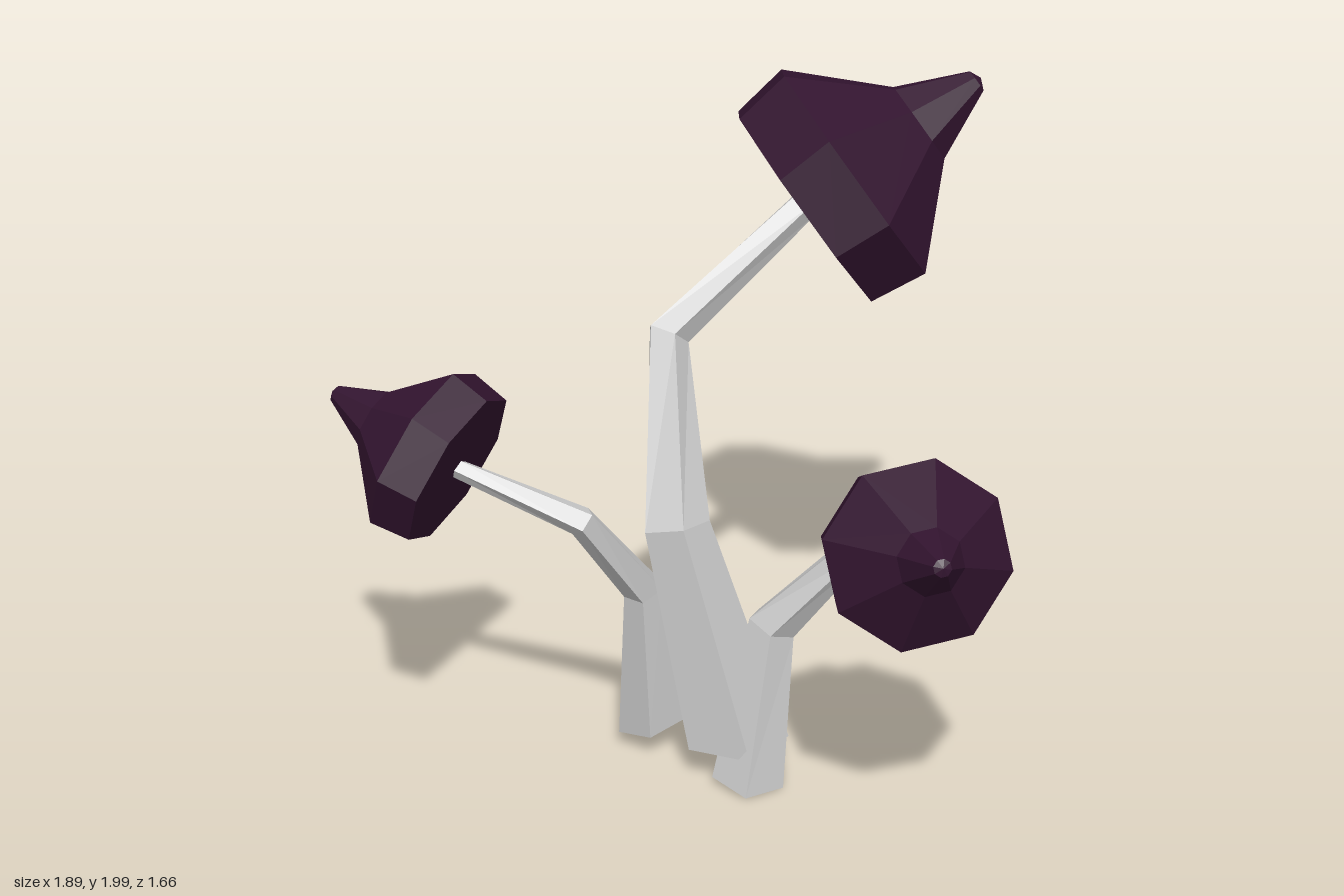
import * as THREE from 'three';

const UP = new THREE.Vector3(0, 1, 0);
const SIDES = 5;
const stemMaterial = new THREE.MeshStandardMaterial({ color: 0xcccccc, flatShading: true });
const capMaterial = new THREE.MeshStandardMaterial({ color: 0x32142f, flatShading: true });

// Cap outline (radius, height): flat underside, flared rim, concave rise to a blunt spike
const CAP_PROFILE = [[0, 0], [0.345, 0], [0.37, 0.17], [0.13, 0.4], [0.035, 0.6], [0, 0.615]]
  .map(([r, h]) => new THREE.Vector2(r, h));

// Five-sided crooked tube; each joint is [x, y, z, radius]
function stemGeometry(joints, baseNormal, phase) {
  const centres = joints.map(([x, y, z]) => new THREE.Vector3(x, y, z));
  const direction = (i) => centres[i + 1].clone().sub(centres[i]).normalize();
  const last = centres.length - 1;
  const positions = [];
  const index = [];

  centres.forEach((centre, i) => {
    let normal;
    if (i === 0) normal = new THREE.Vector3(...baseNormal).normalize();
    else if (i === last) normal = direction(i - 1);
    else normal = direction(i - 1).add(direction(i)).normalize();
    const turn = new THREE.Quaternion().setFromUnitVectors(UP, normal);
    for (let s = 0; s < SIDES; s++) {
      const a = phase + (s / SIDES) * Math.PI * 2;
      const p = new THREE.Vector3(Math.cos(a), 0, Math.sin(a))
        .multiplyScalar(joints[i][3]).applyQuaternion(turn).add(centre);
      positions.push(p.x, p.y, p.z);
    }
  });
  // Walls
  for (let i = 0; i < last; i++) {
    for (let s = 0; s < SIDES; s++) {
      const p0 = i * SIDES + s;
      const p1 = i * SIDES + ((s + 1) % SIDES);
      index.push(p0, p0 + SIDES, p1, p1, p0 + SIDES, p1 + SIDES);
    }
  }
  // End faces
  const top = last * SIDES;
  for (let s = 1; s < SIDES - 1; s++) {
    index.push(0, s, s + 1, top, top + s + 1, top + s);
  }
  const geometry = new THREE.BufferGeometry();
  geometry.setAttribute('position', new THREE.Float32BufferAttribute(positions, 3));
  geometry.setIndex(index);
  const flat = geometry.toNonIndexed();
  flat.computeVertexNormals();
  return flat;
}

function mushroom({ name, joints, baseNormal, phase, cap }) {
  const group = new THREE.Group();
  group.name = name;

  const stem = new THREE.Mesh(stemGeometry(joints, baseNormal, phase), stemMaterial);
  stem.name = name + 'Stem';

  const geometry = new THREE.LatheGeometry(CAP_PROFILE, 8);
  geometry.rotateY(cap.roll);
  const head = new THREE.Mesh(geometry, capMaterial);
  head.name = name + 'Cap';
  head.scale.setScalar(cap.scale);
  head.position.set(...cap.position);
  head.quaternion.setFromUnitVectors(UP, new THREE.Vector3(...cap.axis).normalize());

  group.add(stem, head);
  return group;
}

const MUSHROOMS = [
  {
    name: 'tallMushroom',
    joints: [[0.19, 0.11, 0.03, 0.16], [0.015, 0.8, 0.045, 0.1], [-0.02, 1.28, -0.21, 0.065], [0.37, 1.61, -0.43, 0.045]],
    baseNormal: [0, 1, 0],
    phase: 0,
    cap: { position: [0.36, 1.595, -0.43], axis: [0.8, 0.58, -0.16], scale: 1, roll: 0.32 },
  },
  {
    name: 'rightMushroom',
    joints: [[-0.06, 0.075, -0.1, 0.105], [-0.08, 0.56, -0.02, 0.06], [-0.24, 0.85, 0.14, 0.045], [-0.6, 1.0, 0.115, 0.028]],
    baseNormal: [-0.25, 1, 0],
    phase: 0.3,
    cap: { position: [-0.588, 0.99, 0.115], axis: [-0.86, 0.39, -0.34], scale: 0.7, roll: 0.44 },
  },
  {
    name: 'leftMushroom',
    joints: [[0.235, 0.018, 0.105, 0.11], [0.295, 0.5, 0.065, 0.073], [0.545, 0.8, 0.12, 0.042], [0.665, 0.945, 0.46, 0.028]],
    baseNormal: [0.12, 1, 0.12],
    phase: 0.35,
    cap: { position: [0.66, 0.94, 0.45], axis: [0.16, 0.35, 0.92], scale: 0.7, roll: -0.04 },
  },
];

export function createModel() {
  const model = new THREE.Group();
  model.name = 'mushroomCluster';
  MUSHROOMS.forEach((spec) => model.add(mushroom(spec)));
  return model;
}
